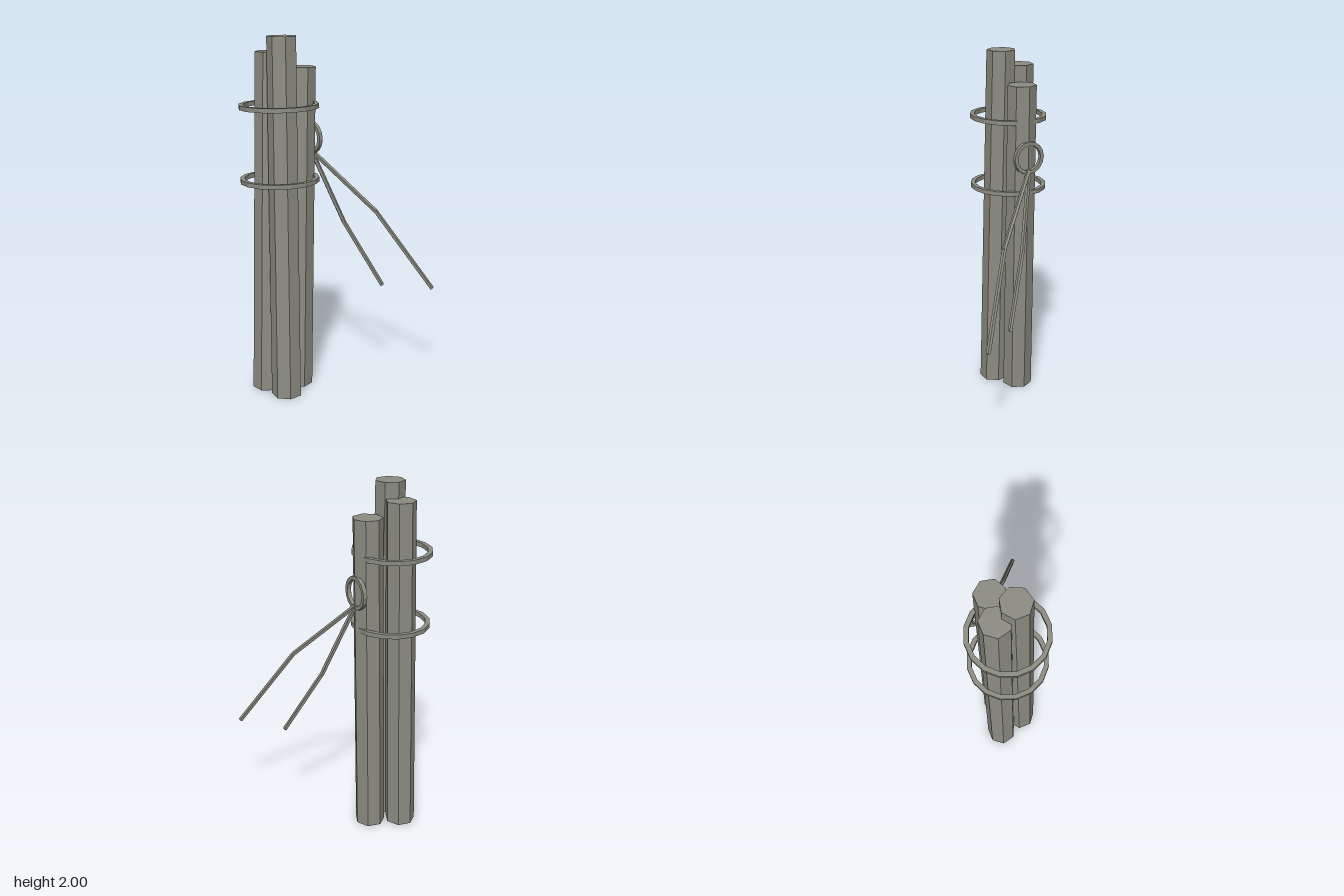
import * as THREE from 'three';

export function createModel() {
  const model = new THREE.Group();
  model.name = 'postBundle';
  const stone = new THREE.MeshStandardMaterial({ color: 0x8c8c82, flatShading: true });
  stone.name = 'weatheredGrey';

  const add = (name, geometry) => {
    const mesh = new THREE.Mesh(geometry, stone);
    mesh.name = name;
    model.add(mesh);
    return mesh;
  };

  // Leaning seven-sided post: bottom and top are [x, z] centres, sheared so the ends stay level
  function post(name, height, bottom, top, turn) {
    const g = new THREE.CylinderGeometry(0.081, 0.086, height, 7, 1, false, turn);
    g.translate(0, height / 2, 0);
    const p = g.attributes.position;
    for (let i = 0; i < p.count; i++) {
      const t = p.getY(i) / height;
      p.setX(i, p.getX(i) + THREE.MathUtils.lerp(bottom[0], top[0], t));
      p.setZ(i, p.getZ(i) + THREE.MathUtils.lerp(bottom[1], top[1], t));
    }
    g.computeVertexNormals();
    add(name, g);
  }
  post('tallFrontPost', 2.0, [-0.273, -0.078], [-0.245, -0.115], Math.PI / 7);
  post('backPost', 1.915, [-0.288, -0.235], [-0.24, -0.225], Math.PI / 2);
  post('shortSidePost', 1.83, [-0.13, -0.155], [-0.087, -0.152], Math.PI / 2);

  // Square-section ring lying flat around the y axis
  function ring(name, inner, outer, half, position) {
    const section = [[inner, -half], [outer, -half], [outer, half], [inner, half], [inner, -half]]
      .map(([r, y]) => new THREE.Vector2(r, y));
    const mesh = add(name, new THREE.LatheGeometry(section, 16));
    mesh.position.set(...position);
    return mesh;
  }

  // Two binding hoops, slightly tipped
  [['lowerHoop', 1.232], ['upperHoop', 1.632]].forEach(([name, y]) => {
    ring(name, 0.191, 0.216, 0.012, [-0.24, y, -0.156]).rotation.x = -0.02;
  });

  // Small upright ring on the side of the short post
  ring('tieRing', 0.071, 0.092, 0.011, [-0.02, 1.437, -0.157]).rotation.z = Math.PI / 2;

  // Cords hanging from the tie ring, built from straight segments
  function cord(name, points) {
    const pts = points.map((p) => new THREE.Vector3(...p));
    for (let i = 0; i < pts.length - 1; i++) {
      const along = pts[i + 1].clone().sub(pts[i]);
      const g = new THREE.CylinderGeometry(0.013, 0.013, along.length(), 5);
      const mesh = add(name, g);
      mesh.position.copy(pts[i]).addScaledVector(along, 0.5);
      mesh.quaternion.setFromUnitVectors(new THREE.Vector3(0, 1, 0), along.normalize());
    }
  }
  cord('longCord', [[-0.015, 1.365, -0.157], [0.21, 1.03, 0.13], [0.443, 0.578, 0.36]]);
  cord('shortCord', [[-0.015, 1.365, -0.157], [0.122, 0.95, -0.035], [0.272, 0.578, 0.13]]);

  return model;
}
